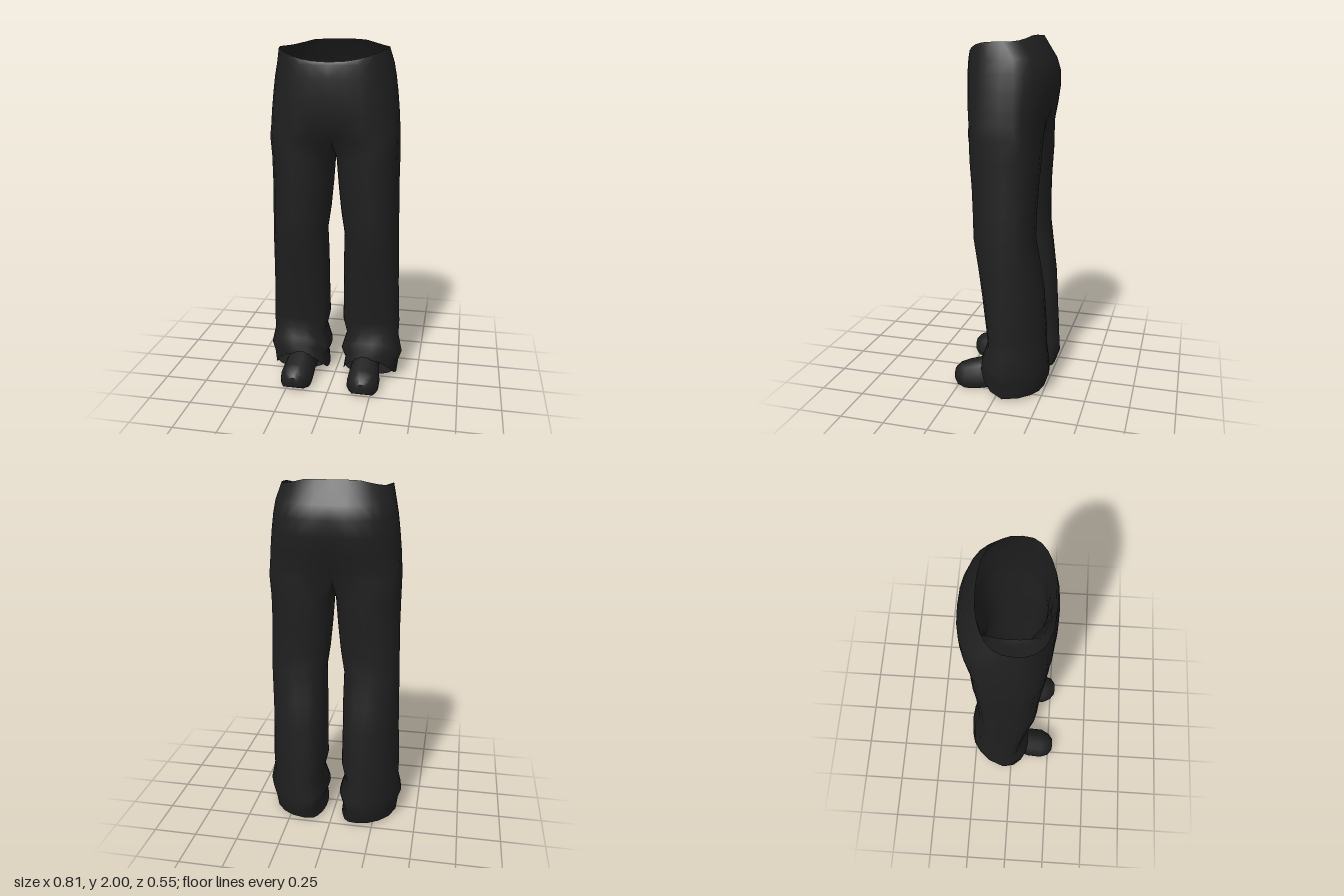
import * as THREE from 'three';
import { mergeVertices, mergeGeometries, toCreasedNormals } from 'three/addons/utils/BufferGeometryUtils.js';

const HALF = 14;   // steps from front centre round the outside to back centre
const INNER = 6;   // steps along the inside of each leg
const N = HALF + INNER;

// signed power, for squarish ovals
const pw = (v, p) => Math.sign(v) * Math.pow(Math.abs(v), p);

// surface through rings of points; each quad faces outward for the +x side
function loft(rings, closed, flip = false) {
  const n = rings[0].length, pos = rings.flat(2), idx = [];
  for (let j = 0; j < rings.length - 1; j++) {
    for (let k = 0; k < (closed ? n : n - 1); k++) {
      const a = j * n + k, b = j * n + (k + 1) % n, c = b + n, d = a + n;
      if (flip) idx.push(a, c, b, a, d, c);
      else idx.push(a, b, c, a, c, d);
    }
  }
  const g = new THREE.BufferGeometry();
  g.setAttribute('position', new THREE.Float32BufferAttribute(pos, 3));
  g.setIndex(idx);
  return g;
}

// mirror rings to the given side
const side = (rings, s) => rings.map(r => r.map(([x, y, z]) => [x * s, y, z]));

// half ring of the hips: half-width, front z, back z, centre crease depth
function hipRing(y, w, front, back, crease, rim = false) {
  const cz = rim ? 0.02 : -0.03, ring = [];
  for (let k = 0; k <= HALF; k++) {
    const a = (k / HALF) * Math.PI, c = Math.cos(a);
    const x = k === 0 || k === HALF ? 0 : w * pw(Math.sin(a), 0.85);
    const dip = 1 - crease * Math.exp(-((x / 0.09) ** 2));
    const z = cz + (c > 0 ? front - cz : cz - back) * pw(c, 0.8 - crease) * dip;
    // the waistband drops toward the front and rises at the back
    const yy = rim ? (c > 0 ? 1.965 - 0.07 * c * c : 1.965 + 0.035 * Math.min(1, 1.35 * c ** 4)) : y;
    ring.push([x, yy, z]);
  }
  return ring;
}

// closed ring of one leg: inner x, outer x, front z, back z, inward shift of the back
function legRing(y, xi, xo, front, back, skew) {
  const cx = (xi + xo) / 2, hw = (xo - xi) / 2, cz = -0.05, ring = [];
  const start = -Math.PI / 3, span = Math.PI * 5 / 3;
  for (let k = 0; k < N; k++) {
    const a = k <= HALF ? start + span * k / HALF
      : start + span + (2 * Math.PI - span) * (k - HALF) / INNER;
    const c = Math.cos(a), sn = Math.sin(a);
    const z = cz + (c > 0 ? front - cz : cz - back) * pw(c, 0.8);
    // only the outer back is drawn in
    const x = cx + hw * pw(sn, 0.85) - skew * Math.max(0, -c) * (1 + Math.min(0, sn));
    // the hem arches over the shoe
    const arch = 0.155 * Math.max(0, c) ** 1.5 * Math.max(0, 1 - y / 0.4);
    ring.push([x, y + arch, z]);
  }
  return ring;
}

function trousersGeometry() {
  const hips = [
    [1.48, 0.364, 0.2, -0.228, 0.24],
    [1.54, 0.361, 0.204, -0.232, 0.12],
    [1.62, 0.356, 0.213, -0.25, 0.05],
    [1.72, 0.346, 0.214, -0.267, 0.01],
    [1.81, 0.334, 0.214, -0.268, 0],
    [1.88, 0.321, 0.21, -0.245, 0],
  ].map(r => hipRing(...r));
  hips.push(hipRing(0, 0.3, 0.2, -0.172, 0, true));

  const legs = [
    [0.015, 0.048, 0.375, 0.11, -0.245, 0.07],
    [0.1, 0.06, 0.385, 0.1, -0.275, 0.075],
    [0.16, 0.035, 0.405, 0.085, -0.27, 0.075],
    [0.27, 0.068, 0.382, 0.062, -0.262, 0.06],
    [0.36, 0.046, 0.385, 0.068, -0.257, 0.055],
    [0.6, 0.05, 0.375, 0.098, -0.242, 0.04],
    [0.75, 0.05, 0.372, 0.12, -0.22, 0.025],
    [0.92, 0.055, 0.369, 0.148, -0.193, 0.005],
    [1.05, 0.035, 0.366, 0.153, -0.193, 0.005],
    [1.2, 0.02, 0.363, 0.16, -0.2, 0.015],
    [1.36, 0.008, 0.364, 0.173, -0.212, 0.02],
  ].map(r => legRing(...r));

  // top of the leg: outer half is the lowest hip ring, inner part is the crotch line
  const top = hips[0].map(p => [...p]);
  const zb = top[HALF][2], zf = top[0][2];
  for (let i = 1; i < INNER; i++) {
    const t = i / INNER;
    top.push([0, 1.48 - 0.05 * Math.sin(Math.PI * t), zb + (zf - zb) * t]);
  }
  legs.push(top);

  const parts = [];
  for (const s of [1, -1]) {
    parts.push(loft(side(legs, s), true, s < 0), loft(side(hips, s), false, s < 0));
  }
  const g = mergeVertices(mergeGeometries(parts), 1e-4);
  g.computeVertexNormals();
  return g;
}

// flat floor closing the leg just above the hem
function hemFloorGeometry(s) {
  const rim = legRing(0, 0.06, 0.37, 0.07, -0.245, 0.07).map(([x, , z]) => [x, 0.05, z]);
  const centre = rim.map(() => [0.2, 0.05, -0.07]);
  const g = loft(side([rim, centre], s), true, s < 0);
  g.computeVertexNormals();
  return g;
}

// shoe lofted from heel to toe: z, centre x, half-width, bottom, top
function shoeGeometry(s) {
  const rows = [
    [-0.2, 0.19, 0.04, 0.015, 0.08],
    [-0.17, 0.19, 0.07, 0.005, 0.1],
    [-0.08, 0.19, 0.075, 0.005, 0.13],
    [0, 0.192, 0.078, 0.022, 0.18],
    [0.06, 0.196, 0.085, 0.02, 0.195],
    [0.12, 0.2, 0.092, 0.008, 0.165],
    [0.2, 0.2, 0.094, 0, 0.138],
    [0.25, 0.205, 0.072, 0.012, 0.117],
    [0.277, 0.205, 0.036, 0.03, 0.09],
  ];
  // cross-section as (width, height) fractions
  const sec = [[-0.85, 0], [0.85, 0], [1, 0.2], [0.95, 0.55], [0.68, 0.85], [0.25, 1],
    [-0.25, 1], [-0.68, 0.85], [-0.95, 0.55], [-1, 0.2]];
  const rings = rows.map(([z, cx, hw, lo, hi]) =>
    sec.map(([u, v]) => [cx + u * hw, lo + v * (hi - lo), z]));
  // close both ends on their centres
  const cap = ([z, cx, , lo, hi]) => sec.map(() => [cx, (lo + hi) / 2, z]);
  rings.unshift(cap(rows[0]));
  rings.push(cap(rows[rows.length - 1]));
  return toCreasedNormals(loft(side(rings, s), true, s < 0), 0.75);
}

export function createModel() {
  const cloth = new THREE.MeshStandardMaterial({ color: 0x1f1f1f, side: THREE.DoubleSide });
  cloth.name = 'black cloth';

  const model = new THREE.Group();
  model.name = 'trousersWithShoes';
  const add = (name, geometry) => {
    const m = new THREE.Mesh(geometry, cloth);
    m.name = name;
    model.add(m);
  };
  add('trousers', trousersGeometry());
  for (const [name, s] of [['left', 1], ['right', -1]]) {
    add(name + 'HemFloor', hemFloorGeometry(s));
    add(name + 'Shoe', shoeGeometry(s));
  }
  return model;
}
